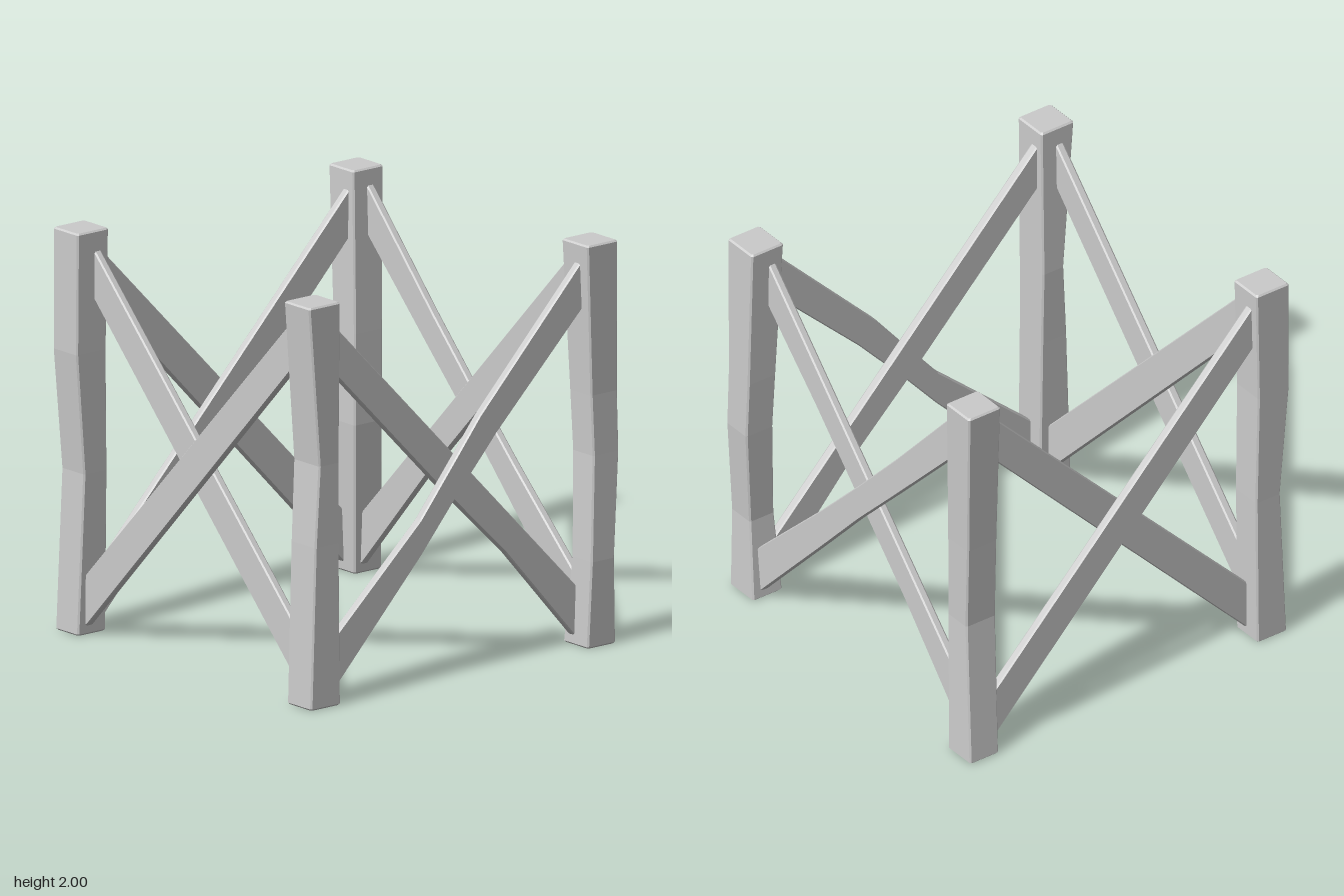
import * as THREE from 'three';

const material = new THREE.MeshStandardMaterial({ color: 0xcccccc, flatShading: true });
const BEVEL = 0.008;

// Chamfered rectangle a0..a1 by b0..b1, as eight corners
function ring(a0, a1, b0, b1, c = BEVEL) {
  return [[a0 + c, b0], [a1 - c, b0], [a1, b0 + c], [a1, b1 - c],
    [a1 - c, b1], [a0 + c, b1], [a0, b1 - c], [a0, b0 + c]];
}

// Skin chamfered sections [s, a0, a1, b0, b1]; place(s, a, b) gives the 3D point
function loft(name, sections, place) {
  const rings = sections.map(([s, ...r]) => ring(...r).map(([a, b]) => new THREE.Vector3(...place(s, a, b))));
  const tris = [];
  for (let i = 0; i < rings.length - 1; i++) {
    for (let k = 0; k < 8; k++) {
      const n = (k + 1) % 8, p = rings[i], q = rings[i + 1];
      tris.push([p[k], p[n], q[n]], [p[k], q[n], q[k]]);
    }
  }
  const first = rings[0], last = rings[rings.length - 1];
  for (let k = 1; k < 7; k++) {
    tris.push([first[0], first[k + 1], first[k]], [last[0], last[k], last[k + 1]]);
  }
  // Turn the faces outward whichever way the axes are placed
  const volume = tris.reduce((v, [a, b, c]) => v + a.dot(b.clone().cross(c)), 0);
  const points = tris.flatMap(([a, b, c]) => (volume < 0 ? [a, c, b] : [a, b, c]));
  const geometry = new THREE.BufferGeometry().setFromPoints(points);
  geometry.computeVertexNormals();
  const mesh = new THREE.Mesh(geometry, material);
  mesh.name = name;
  return mesh;
}

// Hand-hewn post: sections [y, x0, x1, z0, z1], with the ends chamfered
function post(name, sections) {
  const inset = ([, x0, x1, z0, z1], y) => [y, x0 + BEVEL, x1 - BEVEL, z0 + BEVEL, z1 - BEVEL];
  const foot = sections[0], head = sections[sections.length - 1];
  const all = [inset(foot, 0), [BEVEL, ...foot.slice(1)], ...sections.slice(1, -1),
    [2 - BEVEL, ...head.slice(1)], inset(head, 2)];
  return loft(name, all, (y, x, z) => [x, y, z]);
}

// Diagonal plank: rises along dir; cuts [t, bottom, top] shave its edges
function brace(name, axis, dir, d0, d1, cuts = []) {
  const sections = [[-0.83, 0, 0], [-0.77, 0, 0], ...cuts, [0.77, 0, 0], [0.83, 0, 0]]
    .map(([t, lo, hi]) => [t, Math.max(0.02, 0.05 + (t + 0.77) * 1.045 + lo),
      0.31 + (t + 0.77) * 1.033 + hi, d0, d1]);
  return loft(name, sections, (t, y, d) => (axis === 'x' ? [t * dir, y, d] : [d, y, t * dir]));
}

export function createModel() {
  const group = new THREE.Group();
  group.name = 'crossBracedFrame';

  // Corner posts
  group.add(
    post('frontLeftPost', [
      [0, 0.77, 0.945, 0.775, 0.96],
      [0.43, 0.785, 0.93, 0.82, 0.97],
      [0.95, 0.81, 0.97, 0.795, 0.955],
      [1.25, 0.80, 0.965, 0.785, 0.95],
      [2, 0.765, 0.955, 0.77, 0.965]]),
    post('frontRightPost', [
      [0, -0.955, -0.77, 0.78, 0.96],
      [0.8, -0.92, -0.77, 0.765, 0.95],
      [1.2, -0.895, -0.77, 0.755, 0.95],
      [2, -0.97, -0.775, 0.775, 0.965]]),
    post('backLeftPost', [
      [0, 0.775, 0.945, -0.96, -0.78],
      [0.75, 0.745, 0.92, -0.895, -0.745],
      [1.2, 0.755, 0.93, -0.92, -0.755],
      [2, 0.77, 0.96, -0.97, -0.785]]),
    post('backRightPost', [
      [0, -0.95, -0.775, -0.95, -0.78],
      [0.8, -0.92, -0.775, -0.94, -0.77],
      [1.4, -0.97, -0.785, -0.945, -0.765],
      [2, -0.965, -0.77, -0.95, -0.765]]),
  );

  // Crossed planks on the four sides
  group.add(
    brace('frontOuterBrace', 'x', 1, 0.857, 0.902, [[-0.22, 0, -0.07], [0, 0.025, -0.03], [0.15, 0.03, 0], [0.25, 0.035, 0]]),
    brace('frontInnerBrace', 'x', -1, 0.81, 0.857, [[-0.35, 0.04, 0], [0.1, 0.01, 0]]),
    brace('backOuterBrace', 'x', -1, -0.905, -0.86),
    brace('backInnerBrace', 'x', 1, -0.86, -0.817),
    brace('leftOuterBrace', 'z', -1, 0.853, 0.897, [[-0.3, 0.01, -0.03], [0, 0.02, -0.035], [0.3, 0.01, -0.03]]),
    brace('leftInnerBrace', 'z', 1, 0.81, 0.853, [[-0.3, 0.04, 0], [0.4, 0.03, 0]]),
    brace('rightOuterBrace', 'z', 1, -0.905, -0.86),
    brace('rightInnerBrace', 'z', -1, -0.86, -0.817),
  );
  return group;
}
